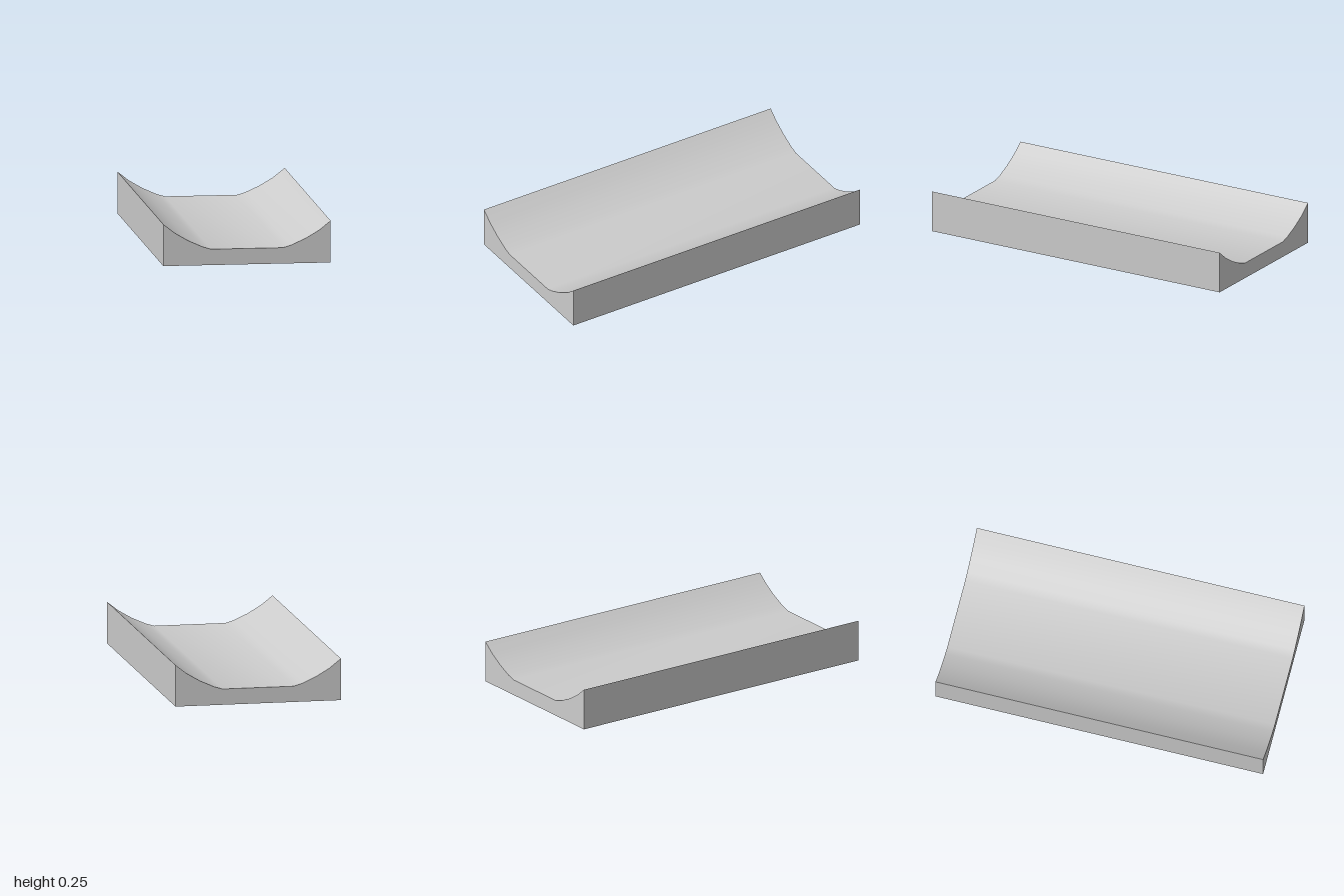
import * as THREE from 'three';
import { toCreasedNormals } from 'three/addons/utils/BufferGeometryUtils.js';

export function createModel() {
  const group = new THREE.Group();
  group.name = 'channelBlock';

  // One curved flank of the trough, from the rim down to the flat floor
  const flank = [[0.5, 0.25], [0.43, 0.195], [0.35, 0.148], [0.265, 0.11], [0.215, 0.095]];
  const mirrored = flank.map(([x, y]) => [-x, y]).reverse();

  // Cross-section: flat base, upright sides, shallow trough on top
  const outline = [[-0.5, 0], [0.5, 0], ...flank, ...mirrored];
  const section = new THREE.Shape(outline.map(([x, y]) => new THREE.Vector2(x, y)));

  // Run the section along the length, centred on z
  const length = 2;
  const geometry = new THREE.ExtrudeGeometry(section, { depth: length, bevelEnabled: false });
  geometry.translate(0, 0, -length / 2);

  // Smooth trough, sharp outer edges
  const block = new THREE.Mesh(
    toCreasedNormals(geometry, 0.5),
    new THREE.MeshStandardMaterial({ color: 0xcccccc })
  );
  block.name = 'troughBlock';
  group.add(block);
  return group;
}
